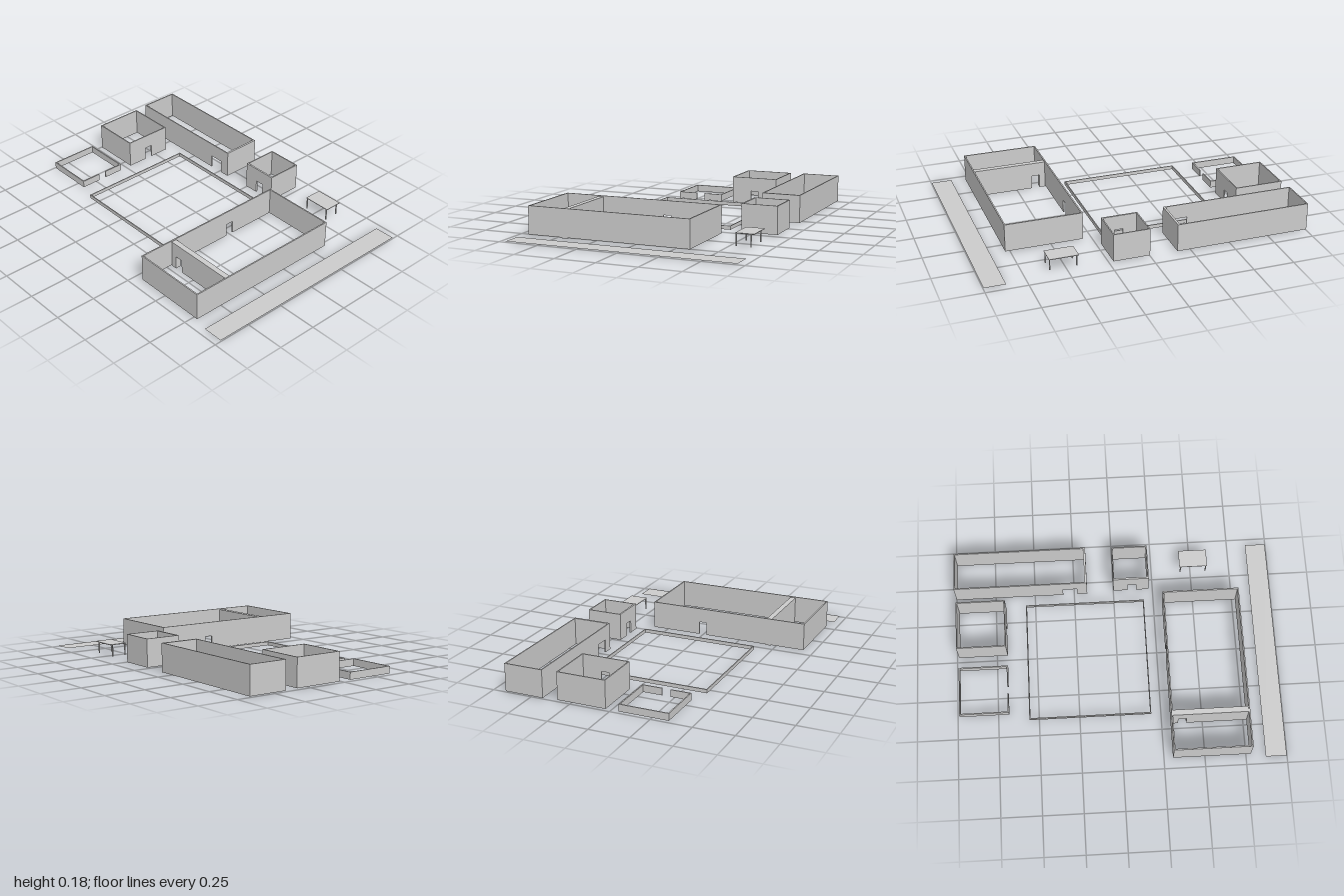
import * as THREE from 'three';

const BASE = 0.006;
const material = new THREE.MeshStandardMaterial({ color: 0xcccccc, side: THREE.DoubleSide, flatShading: true });

function addMesh(parent, name, geometry) {
  const mesh = new THREE.Mesh(geometry, material);
  mesh.name = name;
  parent.add(mesh);
  return mesh;
}

function addBox(parent, name, x0, x1, y0, y1, z0, z1) {
  const geometry = new THREE.BoxGeometry(x1 - x0, y1 - y0, z1 - z0);
  addMesh(parent, name, geometry).position.set((x0 + x1) / 2, (y0 + y1) / 2, (z0 + z1) / 2);
}

// Outlines of an upright wall from a to b; a door as tall as the wall splits it in two
function wallShapes(a, b, y0, y1, door) {
  const outline = (points) => new THREE.Shape(points.map(([u, v]) => new THREE.Vector2(u, v)));
  const rect = (u0, u1) => outline([[u0, y0], [u1, y0], [u1, y1], [u0, y1]]);
  if (!door) return [rect(a, b)];
  const { from, to, top } = door;
  if (top >= y1) return [rect(a, from), rect(to, b)];
  return [outline([[a, y0], [from, y0], [from, top], [to, top], [to, y0], [b, y0], [b, y1], [a, y1]])];
}

// Wall running along x, starting at depth z0
function wallX(parent, name, x0, x1, z0, t, y0, y1, door) {
  const geometry = new THREE.ExtrudeGeometry(wallShapes(x0, x1, y0, y1, door), { depth: t, bevelEnabled: false });
  geometry.translate(0, 0, z0);
  addMesh(parent, name, geometry);
}

// Wall running along z, starting at x0
function wallZ(parent, name, z0, z1, x0, t, y0, y1, door) {
  const geometry = new THREE.ExtrudeGeometry(wallShapes(z0, z1, y0, y1, door), { depth: t, bevelEnabled: false });
  geometry.rotateY(-Math.PI / 2);
  geometry.translate(x0 + t, 0, 0);
  addMesh(parent, name, geometry);
}

// Four roofless walls round a rectangle, with optional doors per side
function enclosure(root, name, [x0, x1], [z0, z1], top, t, doors = {}, thick = {}) {
  const group = new THREE.Group();
  group.name = name;
  root.add(group);
  const tf = thick.front ?? t;
  const tl = thick.left ?? t;
  wallX(group, 'backWall', x0, x1, z0, t, BASE, top, doors.back);
  wallX(group, 'frontWall', x0, x1, z1 - tf, tf, BASE, top, doors.front);
  wallZ(group, 'rightWall', z0 + t, z1 - tf, x0, t, BASE, top, doors.right);
  wallZ(group, 'leftWall', z0 + t, z1 - tf, x1 - tl, tl, BASE, top, doors.left);
  return group;
}

export function createModel() {
  const root = new THREE.Group();
  root.name = 'compound';
  const H = 0.178;

  // Roofless buildings
  enclosure(root, 'longHall', [-1, -0.167], [-0.668, -0.424], H, 0.007,
    { front: { from: -0.32, to: -0.23, top: 0.088 } }, { left: 0.013 });
  enclosure(root, 'smallRoom', [0, 0.224], [-0.66, -0.435], H, 0.007,
    { front: { from: 0.09, to: 0.145, top: 0.088 } }, { front: 0.011 });
  enclosure(root, 'squareRoom', [-0.988, -0.683], [-0.336, -0.03], H, 0.007,
    { left: { from: -0.21, to: -0.16, top: 0.088 } });

  // Large building with a thick cross wall
  const large = enclosure(root, 'largeBuilding', [0.305, 0.78], [-0.342, 0.685], H, 0.008,
    { right: { from: -0.02, to: 0.03, top: 0.088 } });
  wallX(large, 'partition', 0.309, 0.774, 0.432, 0.034, 0, 0.172, { from: 0.35, to: 0.4, top: 0.085 });

  // Low pen with an open gateway, and the courtyard kerb
  enclosure(root, 'lowPen', [-0.988, -0.683], [0.051, 0.357], 0.05, 0.007,
    { left: { from: 0.178, to: 0.23, top: 1 } });
  enclosure(root, 'courtyardKerb', [-0.56, 0.19], [-0.354, 0.4], 0.029, 0.006);

  // Table
  const table = new THREE.Group();
  table.name = 'table';
  root.add(table);
  addBox(table, 'tableTop', 0.428, 0.605, 0.08, 0.084, -0.655, -0.542);
  for (const x of [0.433, 0.594]) {
    for (const z of [-0.637, -0.548]) {
      addBox(table, 'tableLeg', x, x + 0.006, BASE, 0.08, z, z + 0.006);
    }
  }

  // Flat road strip
  const road = new THREE.PlaneGeometry(0.128, 1.416);
  road.rotateX(-Math.PI / 2);
  addMesh(root, 'road', road).position.set(0.934, BASE, 0);

  return root;
}
